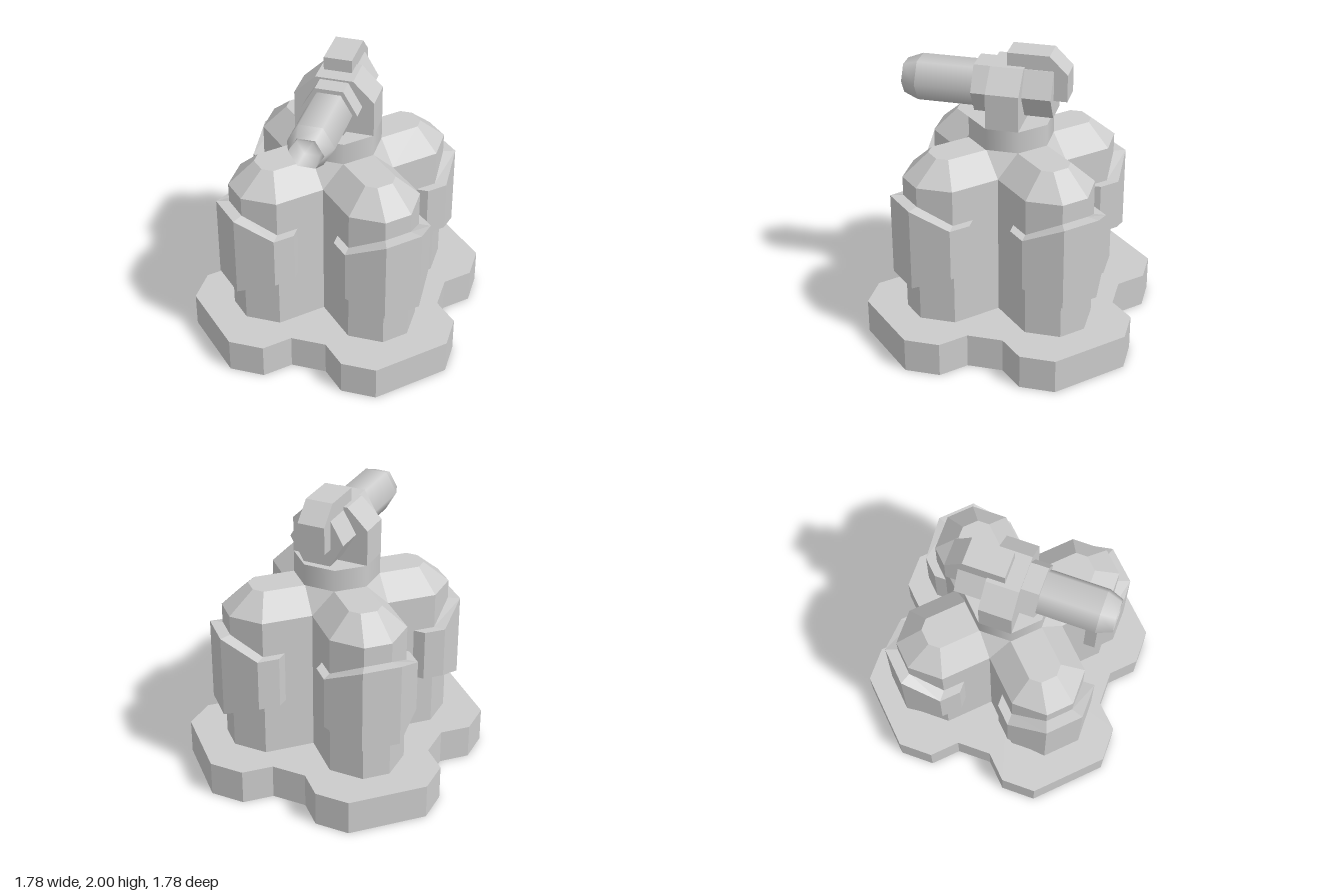
import * as THREE from 'three';

const material = new THREE.MeshStandardMaterial({ color: 0xcccccc });
const openMaterial = new THREE.MeshStandardMaterial({ color: 0xcccccc, side: THREE.DoubleSide });

// Flat-shaded skin over a list of closed rings of [x, y, z] points
function loft(rings) {
  const out = [];
  const same = (a, b) => a.every((v, i) => v === b[i]);
  const tri = (a, b, c) => {
    if (!same(a, b) && !same(b, c) && !same(a, c)) out.push(...a, ...b, ...c);
  };
  for (let i = 0; i < rings.length - 1; i++) {
    const lower = rings[i], upper = rings[i + 1], n = lower.length;
    for (let j = 0; j < n; j++) {
      const k = (j + 1) % n;
      tri(lower[j], lower[k], upper[k]);
      tri(lower[j], upper[k], upper[j]);
    }
  }
  const geometry = new THREE.BufferGeometry();
  geometry.setAttribute('position', new THREE.Float32BufferAttribute(out, 3));
  geometry.computeVertexNormals();
  return geometry;
}

// Repeats a quarter outline of [x, z] points four times at height y
function fourfold(quarter, y) {
  const ring = [];
  for (let q = 0; q < 4; q++) {
    for (let [x, z] of quarter) {
      for (let r = 0; r < q; r++) [x, z] = [z, -x];
      ring.push([x + 0, y, z + 0]);
    }
  }
  return ring;
}

// Ring shrunk to one point, used to close an end
const collapse = (ring, point) => ring.map(() => point);

// Prism cut from a 2D outline, starting at z = 0
function prism(points, depth) {
  const shape = new THREE.Shape(points.map(([x, y]) => new THREE.Vector2(x, y)));
  return new THREE.ExtrudeGeometry(shape, { depth, bevelEnabled: false });
}

export function createModel() {
  const model = new THREE.Group();
  const add = (name, geometry, parent = model) => {
    const mesh = new THREE.Mesh(geometry, material);
    mesh.name = name;
    parent.add(mesh);
    return mesh;
  };

  // Four-lobed foundation, a thin shell open underneath
  const slab = [[0.12, 0.742], [0.27, 0.892], [0.508, 0.892], [0.892, 0.508], [0.892, 0.27], [0.742, 0.12]];
  const slabTop = fourfold(slab, 0.24);
  add('foundation', loft([
    fourfold(slab, 0), slabTop, collapse(slabTop, [0, 0.24, 0]),
  ])).material = openMaterial;

  // Tower body with bevelled roof; the valley point splits into two on top
  const wall = [[0, 0.373], [0.24, 0.613], [0.48, 0.613], [0.613, 0.48], [0.613, 0.24], [0.373, 0]];
  const roof = [[0.105, 0.263], [0.305, 0.463], [0.385, 0.463], [0.463, 0.385], [0.463, 0.305], [0.263, 0.105]];
  const roofTop = fourfold(roof, 1.38);
  add('towerBody', loft([
    fourfold(wall, 0.24), fourfold(wall, 1.23), roofTop, collapse(roofTop, [0, 1.38, 0]),
  ]));

  // Armour plates wrapped around each lobe, tallest at the outer corner
  const inner = [[0.135, 0.508], [0.24, 0.613], [0.48, 0.613], [0.613, 0.48], [0.613, 0.24], [0.508, 0.135]];
  const outer = [[0.135, 0.59], [0.238, 0.693], [0.508, 0.693], [0.693, 0.508], [0.693, 0.238], [0.59, 0.135]];
  const sections = inner.map(([ix, iz], i) => {
    const [ox, oz] = outer[i];
    const tall = i === 2 || i === 3;
    const low = tall ? 0.518 : 0.628, high = tall ? 1.096 : 0.986;
    return [[ox, high, oz], [ox, low, oz], [ix, low, iz], [ix, high, iz]];
  });
  const plate = loft([
    collapse(sections[0], [0.135, 0.81, 0.55]), ...sections,
    collapse(sections[5], [0.55, 0.81, 0.135]),
  ]);
  for (let q = 0; q < 4; q++) add('armourPlate', plate).rotation.y = q * Math.PI / 2;

  // Eight-sided turntable
  const turntable = new THREE.CylinderGeometry(0.286, 0.286, 0.15, 8, 1, false, Math.PI / 8);
  add('turntable', turntable).position.y = 1.455;

  // Upright gun mount with chamfered shoulders
  add('gunMount', prism([
    [-0.267, 1.53], [0.265, 1.53], [0.265, 1.773], [0.125, 1.912], [-0.125, 1.912], [-0.267, 1.773],
  ], 0.22)).position.z = -0.108;

  // Hexagonal gun, built along y and laid forward
  const gun = new THREE.Group();
  gun.name = 'gun';
  gun.position.y = 1.737;
  gun.rotation.x = Math.PI / 2;
  model.add(gun);
  const hexagon = (front, rear, length, open) =>
    new THREE.CylinderGeometry(front, rear, length, 6, 1, open, Math.PI / 2);
  const breech = hexagon(0.187, 0.187, 0.53, false).toNonIndexed();
  breech.computeVertexNormals();
  add('breech', breech, gun).position.y = -0.035;
  add('barrel', hexagon(0.155, 0.155, 0.42, true), gun).position.y = 0.41;
  add('muzzle', hexagon(0.115, 0.155, 0.1, true), gun).position.y = 0.67;
  const bore = [[0.115, 0.72], [0.1, 0.6], [0, 0.58]].map(([r, y]) => new THREE.Vector2(r, y));
  add('bore', new THREE.LatheGeometry(bore, 6, Math.PI / 2), gun);

  // Hooked housing over the top and rear of the breech
  const housing = prism([
    [-0.01, 1.88], [0.3, 1.88], [0.3, 1.695], [0.39, 1.695], [0.39, 1.88], [0.27, 2], [-0.01, 2],
  ], 0.186);
  const hook = add('rearHousing', housing);
  hook.rotation.y = Math.PI / 2;
  hook.position.x = -0.098;

  return model;
}
